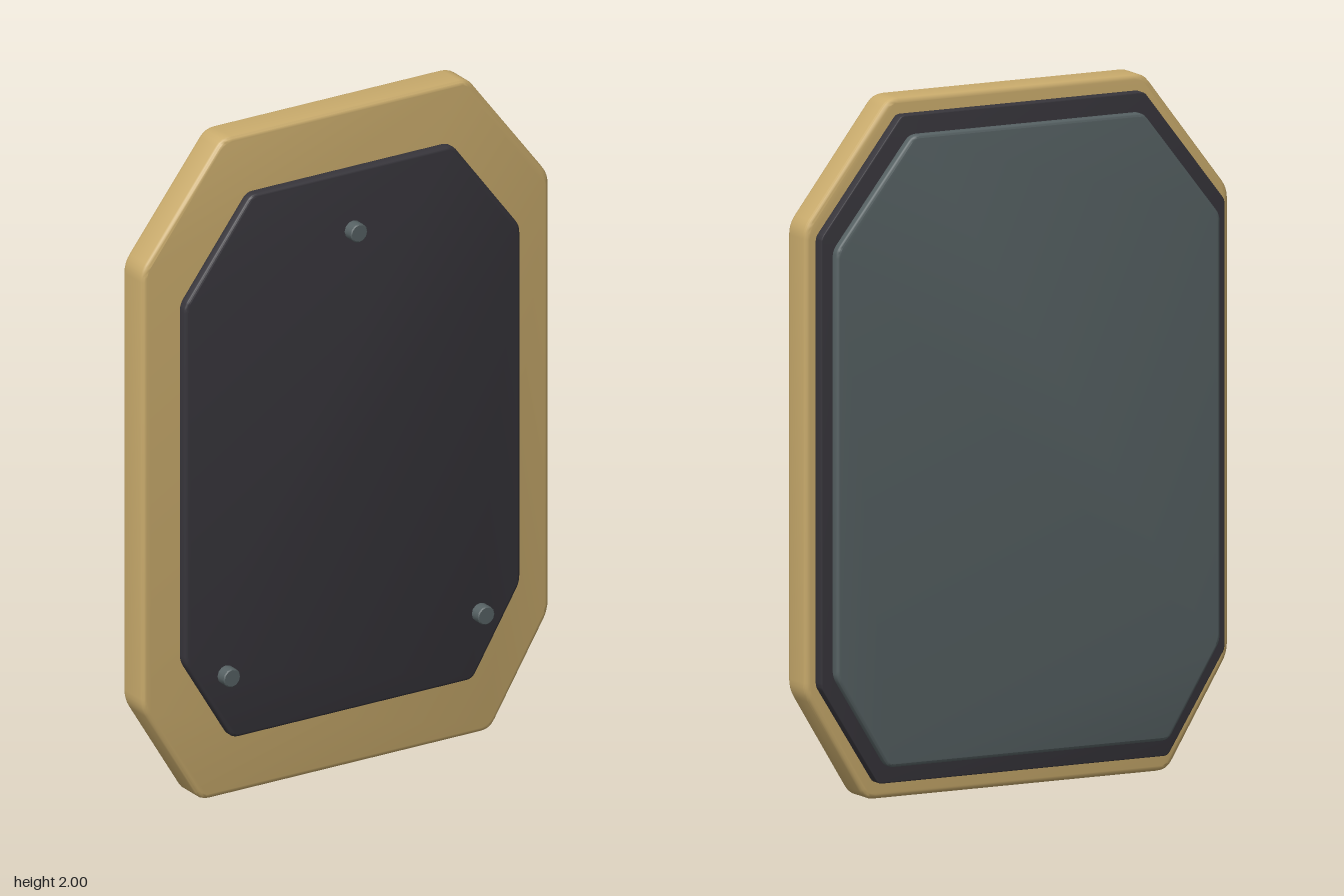
import * as THREE from 'three';
import { toCreasedNormals } from 'three/addons/utils/BufferGeometryUtils.js';

const mat = (name, color) => new THREE.MeshStandardMaterial({ name, color });

// Eight-sided outline from its right half, listed top to bottom, with softened corners
function outline(half, soft) {
  const right = half.map(([x, y]) => new THREE.Vector2(x, y));
  const left = half.map(([x, y]) => new THREE.Vector2(-x, y)).reverse();
  const pts = [...right, ...left].reverse(); // counter-clockwise
  const shape = new THREE.Shape();
  pts.forEach((p, i) => {
    const toward = (q) => p.clone().add(q.clone().sub(p).setLength(soft));
    const a = toward(pts[(i + pts.length - 1) % pts.length]);
    const b = toward(pts[(i + 1) % pts.length]);
    if (i === 0) shape.moveTo(a.x, a.y);
    else shape.lineTo(a.x, a.y);
    shape.quadraticCurveTo(p.x, p.y, b.x, b.y);
  });
  shape.closePath();
  return shape;
}

// Bevelled slab between two depths
function slab(name, half, z0, z1, bevel, soft, material) {
  const geo = new THREE.ExtrudeGeometry(outline(half, soft), {
    depth: z1 - z0 - 2 * bevel,
    bevelThickness: bevel,
    bevelSize: bevel,
    bevelOffset: -bevel,
    bevelSegments: 3,
    curveSegments: 4,
  });
  geo.translate(0, 0, z0 + bevel);
  const mesh = new THREE.Mesh(toCreasedNormals(geo, 0.6), material);
  mesh.name = name;
  return mesh;
}

export function createModel() {
  const brass = mat('brass', 0xc9ab6c);
  const charcoal = mat('charcoal', 0x37353b);
  const slate = mat('slate', 0x566163);
  const group = new THREE.Group();
  group.name = 'plaque';

  group.add(
    // Thick main body
    slab('body', [[0.41, 2], [0.68, 1.65], [0.68, 0.32], [0.485, 0]], -0.055, 0.05, 0.014, 0.03, brass),
    // Front panel
    slab('frontPanel', [[0.337, 1.825], [0.56, 1.532], [0.56, 0.445], [0.402, 0.185]], 0.05, 0.086, 0.009, 0.02, charcoal),
    // Stepped layers on the back
    slab('backGasket', [[0.39, 1.955], [0.648, 1.625], [0.648, 0.34], [0.465, 0.05]], -0.091, -0.055, 0.003, 0.012, charcoal),
    slab('backPlate', [[0.37, 1.902], [0.616, 1.59], [0.616, 0.37], [0.45, 0.1]], -0.125, -0.091, 0.009, 0.02, slate),
  );

  // Three small pins on the front panel
  const pinProfile = [[0, 0], [0.028, 0], [0.028, 0.032], [0.025, 0.035], [0, 0.035]]
    .map(([r, h]) => new THREE.Vector2(r, h));
  const pinGeo = toCreasedNormals(new THREE.LatheGeometry(pinProfile, 12).rotateX(Math.PI / 2), 0.6);
  for (const [x, y] of [[0, 1.645], [-0.425, 0.385], [0.425, 0.385]]) {
    const pin = new THREE.Mesh(pinGeo, slate);
    pin.name = 'pin';
    pin.position.set(x, y, 0.085);
    group.add(pin);
  }
  return group;
}
